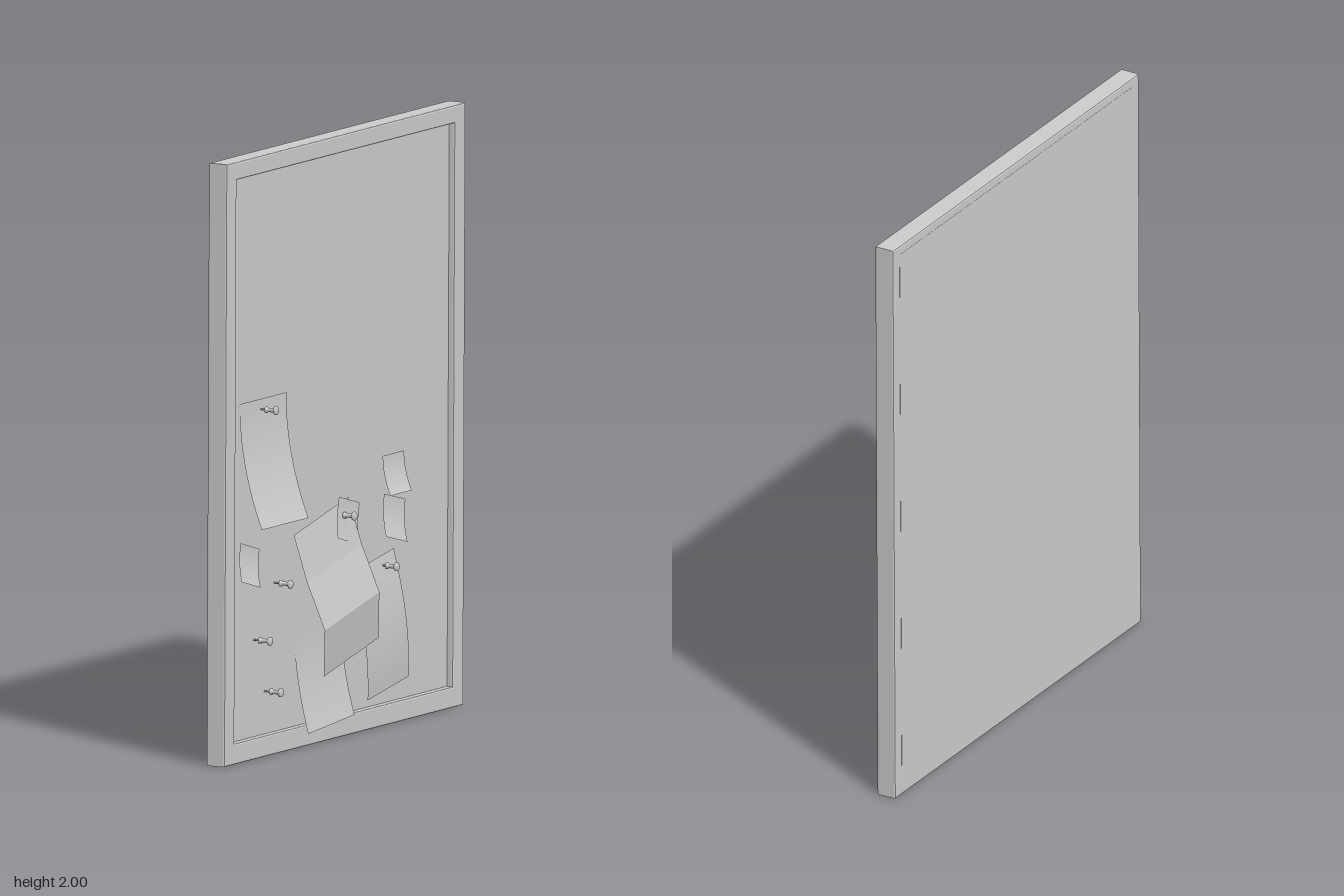
import * as THREE from 'three';

const grey = new THREE.MeshStandardMaterial({ color: 0xcccccc });
const paper = new THREE.MeshStandardMaterial({ color: 0xcccccc, side: THREE.DoubleSide });
const folded = new THREE.MeshStandardMaterial({ color: 0xcccccc, side: THREE.DoubleSide, flatShading: true });

// The board is built facing +z, then turned to face +x.
const SURFACE = -0.019; // face of the recessed panel

function rectPoints(path, x0, y0, x1, y1) {
  path.moveTo(x0, y0);
  path.lineTo(x1, y0);
  path.lineTo(x1, y1);
  path.lineTo(x0, y1);
  path.closePath();
  return path;
}

// Sheet placed by its bottom left corner; bulge(t) gives its depth, t = 0 at the top, 1 at the bottom
function sheet(name, x, y, width, height, degrees, bulge, rows = 12, material = paper) {
  const geo = new THREE.PlaneGeometry(width, height, 1, rows);
  geo.translate(width / 2, height / 2, 0);
  const pos = geo.attributes.position;
  for (let i = 0; i < pos.count; i++) pos.setZ(i, bulge(1 - pos.getY(i) / height));
  geo.computeVertexNormals();
  const mesh = new THREE.Mesh(geo, material);
  mesh.name = name;
  mesh.position.set(x, y, 0);
  mesh.rotation.z = THREE.MathUtils.degToRad(degrees);
  return mesh;
}

// Curl that starts flat on the panel and lifts away towards the bottom
const curl = (top, bottom) => t => top + (bottom - top) * t * t;

export function createModel() {
  const model = new THREE.Group();
  model.name = 'noticeBoard';
  const board = new THREE.Group();
  board.name = 'board';
  board.rotation.y = Math.PI / 2;
  model.add(board);

  // Frame with softened edges
  const bevel = 0.006;
  const outline = rectPoints(new THREE.Shape(), -0.77, 0, 0.77, 2);
  outline.holes.push(rectPoints(new THREE.Path(), -0.705, 0.07, 0.7, 1.94));
  const frameGeo = new THREE.ExtrudeGeometry(outline, {
    depth: 0.071 - 2 * bevel, bevelEnabled: true, bevelSize: bevel,
    bevelThickness: bevel, bevelOffset: -bevel, bevelSegments: 2,
  });
  frameGeo.translate(0, 0, -0.068 + bevel);
  const frame = new THREE.Mesh(frameGeo, grey);
  frame.name = 'frame';
  board.add(frame);

  // Recessed panel, flush with the back of the frame
  const panelDepth = SURFACE + 0.0685;
  const panel = new THREE.Mesh(new THREE.BoxGeometry(1.46, 1.93, panelDepth), grey);
  panel.name = 'panel';
  panel.position.set(0, 1.005, SURFACE - panelDepth / 2);
  board.add(panel);

  // Curled sheets and small notes
  board.add(
    sheet('largeSheet', -0.65, 0.777, 0.3, 0.41, 0, curl(-0.016, 0.07)),
    sheet('lowerSheet', -0.265, 0.045, 0.298, 0.32, 4.6, curl(-0.017, 0.023)),
    sheet('rightSheet', 0.154, 0.098, 0.268, 0.44, 9.7,
      t => -0.014 + 0.026 * Math.sin(t * Math.PI * 0.8)),
    sheet('leftNote', -0.677, 0.603, 0.127, 0.127, -16, curl(-0.015, 0.01)),
    sheet('pinnedNote', -0.071, 0.667, 0.139, 0.137, -15.5, curl(0.0, 0.018)),
    sheet('upperNote', 0.272, 0.762, 0.138, 0.13, 0, curl(-0.015, 0.015)),
    sheet('rightNote', 0.246, 0.63, 0.142, 0.14, -14.5, curl(-0.014, 0.015)),
  );

  // Letter folded in thirds
  const folds = [-0.008, 0.022, 0.068, 0.043];
  board.add(sheet('foldedLetter', -0.201, 0.228, 0.361, 0.492, 13,
    t => folds[Math.round(t * 3)], 3, folded));

  // Push pins: needle, collar, waist and head
  const profile = [
    [0, -0.025], [0.003, -0.025], [0.003, 0.003], [0.011, 0.004], [0.011, 0.009],
    [0.007, 0.013], [0.007, 0.034], [0.014, 0.039], [0.015, 0.045], [0.012, 0.048], [0, 0.049],
  ].map(([r, h]) => new THREE.Vector2(r, h));
  const pinGeo = new THREE.LatheGeometry(profile, 16);
  pinGeo.rotateX(Math.PI / 2);
  const spots = [[-0.515, 1.153], [-0.008, 0.735], [-0.418, 0.564], [-0.549, 0.392], [-0.477, 0.212], [0.267, 0.53]];
  spots.forEach(([x, y], i) => {
    const pin = new THREE.Mesh(pinGeo, grey);
    pin.name = `pushPin${i + 1}`;
    pin.position.set(x, y, 0);
    board.add(pin);
  });

  // Slight lean
  board.position.x = -0.0045;
  const lean = new THREE.Group();
  lean.name = 'leaningBoard';
  lean.rotation.z = -0.0045;
  lean.add(board);
  model.add(lean);
  return model;
}
